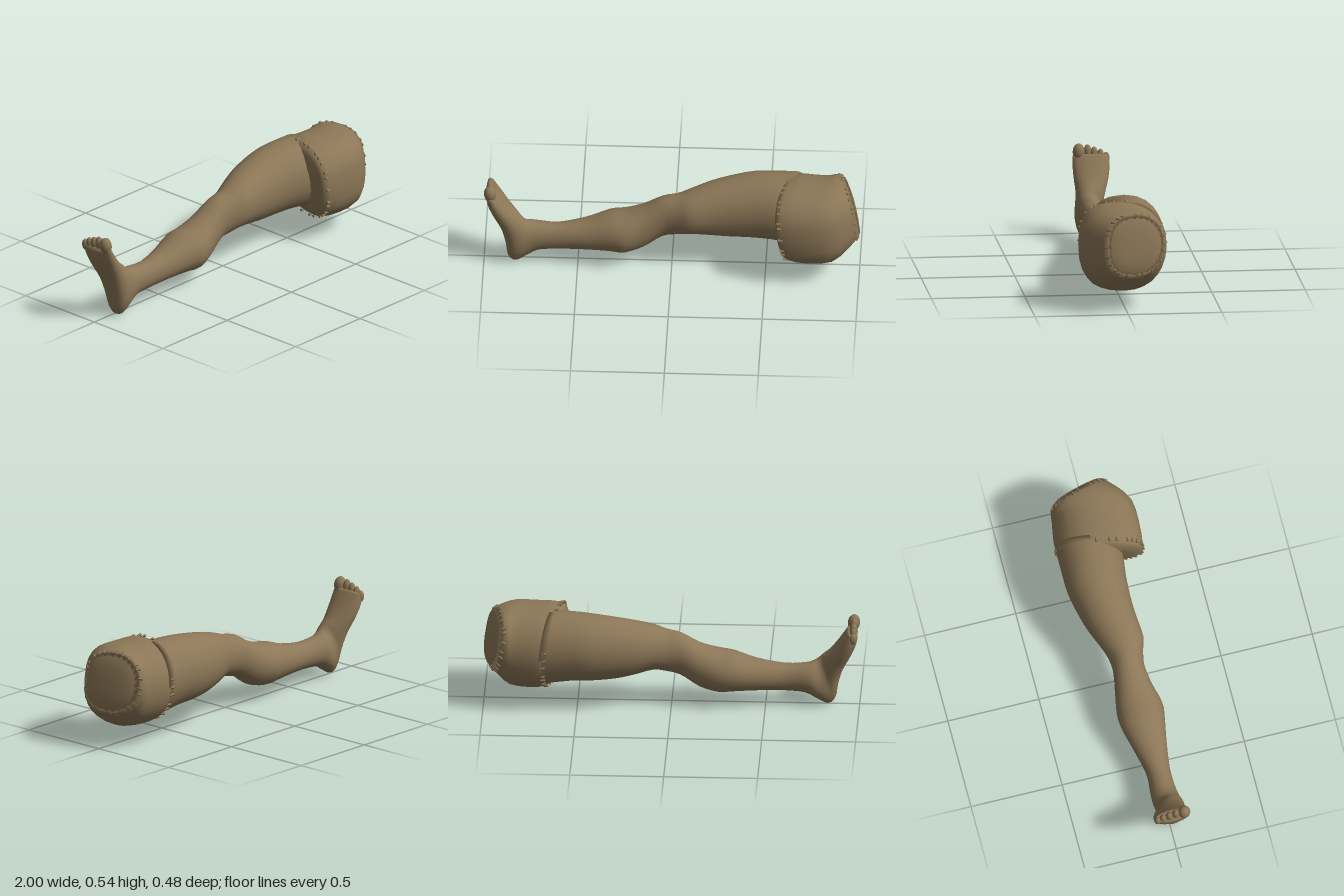
import * as THREE from 'three';

// A section is [ax, ay, bx, by, z0, z1, lean]: two opposite rim points in the
// side plane, the depth range, and how far x shifts per unit of depth.
function ringPoint(s, t, square = 1) {
  const [ax, ay, bx, by, z0, z1, lean = 0] = s;
  const c = Math.cos(t), n = Math.sin(t);
  const e = c > 0 ? square : 1 - (1 - square) * 0.25;
  const u = Math.sign(n) * Math.abs(n) ** e;
  const w = Math.sign(c) * Math.abs(c) ** e * (z1 - z0) / 2;
  return new THREE.Vector3(
    (ax + bx) / 2 + u * (bx - ax) / 2 + lean * w,
    (ay + by) / 2 + u * (by - ay) / 2,
    (z0 + z1) / 2 + w);
}

// Smoothly adds sections between the given ones
function refine(list, steps) {
  const out = [];
  const at = i => list[Math.min(Math.max(i, 0), list.length - 1)];
  for (let i = 0; i < list.length - 1; i++) {
    for (let k = 0; k < steps; k++) {
      const f = k / steps;
      out.push(list[i].map((p1, c) => {
        const p0 = at(i - 1)[c], p2 = at(i + 1)[c], p3 = at(i + 2)[c];
        return p1 + 0.5 * f * (p2 - p0 + f * (2 * p0 - 5 * p1 + 4 * p2 - p3
          + f * (3 * (p1 - p2) + p3 - p0)));
      }));
    }
  }
  out.push(list[list.length - 1]);
  return out;
}

// Skin over the sections with both ends closed by fans
function loft(sections, sides, square) {
  const pos = [], idx = [];
  for (const s of sections) {
    for (let j = 0; j < sides; j++) {
      pos.push(...ringPoint(s, j / sides * Math.PI * 2, square).toArray());
    }
  }
  const last = sections.length - 1;
  for (let i = 0; i < last; i++) {
    for (let j = 0; j < sides; j++) {
      const k = (j + 1) % sides, a = i * sides, b = a + sides;
      idx.push(a + j, b + j, b + k, a + j, b + k, a + k);
    }
  }
  for (const i of [0, last]) {
    const s = sections[i], c = pos.length / 3;
    pos.push((s[0] + s[2]) / 2, (s[1] + s[3]) / 2, (s[4] + s[5]) / 2);
    for (let j = 0; j < sides; j++) {
      const p = i * sides + j, q = i * sides + (j + 1) % sides;
      if (i === 0) idx.push(c, p, q); else idx.push(c, q, p);
    }
  }
  const g = new THREE.BufferGeometry();
  g.setAttribute('position', new THREE.Float32BufferAttribute(pos, 3));
  g.setIndex(idx);
  g.computeVertexNormals();
  return g;
}

export function createModel() {
  const model = new THREE.Group();
  model.name = 'stitchedLeg';
  const skin = new THREE.MeshStandardMaterial({ color: 0x8c7757 });
  skin.name = 'brownSkin';
  const add = (name, geometry, parent = model) => {
    const m = new THREE.Mesh(geometry, skin);
    m.name = name;
    parent.add(m);
    return m;
  };

  // Foot, from the ball down to the heel (sole point, then instep point)
  const foot = [
    [-0.99, 0.42, -0.94, 0.445, -0.105, 0.085, 0],
    [-0.985, 0.365, -0.905, 0.395, -0.11, 0.088, 0],
    [-0.955, 0.29, -0.868, 0.345, -0.1, 0.085, 0],
    [-0.91, 0.2, -0.835, 0.308, -0.08, 0.08, 0],
    [-0.885, 0.11, -0.81, 0.285, -0.065, 0.085, 0],
    [-0.872, 0.035, -0.79, 0.265, -0.055, 0.09, 0],
    [-0.835, 0.0, -0.77, 0.25, -0.06, 0.085, 0],
    [-0.775, 0.03, -0.745, 0.24, -0.07, 0.075, 0],
  ];
  // Shin, knee and thigh: x, underside, top, back, front
  const limb = [
    [-0.71, 0.066, 0.232, -0.07, 0.068],
    [-0.6, 0.076, 0.226, -0.065, 0.066],
    [-0.45, 0.08, 0.252, -0.1, 0.086],
    [-0.33, 0.077, 0.294, -0.132, 0.107],
    [-0.25, 0.072, 0.307, -0.136, 0.115],
    [-0.15, 0.1, 0.343, -0.12, 0.085],
    [-0.05, 0.165, 0.4, -0.105, 0.066],
    [0.03, 0.186, 0.418, -0.112, 0.08],
    [0.1, 0.195, 0.443, -0.137, 0.098],
    [0.2, 0.176, 0.473, -0.178, 0.09],
    [0.3, 0.16, 0.496, -0.207, 0.086],
    [0.43, 0.152, 0.518, -0.234, 0.09],
    [0.54, 0.147, 0.526, -0.237, 0.103],
  ].map(([x, lo, hi, z0, z1]) => [x, lo, x, hi, z0, z1, 0]);
  const socket = [0.68, 0.125, 0.65, 0.527, -0.236, 0.11, -0.2];
  add('leg', loft(refine([...foot, ...limb, socket], 3), 24, 0.95));

  // Toes, big toe on the inner side: y, z, radius, length
  const toes = new THREE.Group();
  toes.name = 'toes';
  model.add(toes);
  [[0.45, 0.052, 0.033, 0.046], [0.45, 0.005, 0.021, 0.04], [0.441, -0.03, 0.02, 0.037],
    [0.43, -0.064, 0.019, 0.035], [0.415, -0.094, 0.019, 0.032]].forEach(([y, z, r, len], i) => {
    const toe = add('toe' + (i + 1), new THREE.SphereGeometry(1, 14, 10), toes);
    toe.scale.set(r, len, r);
    toe.position.set(-0.967, y, z);
    toe.rotation.z = 0.12;
  });

  // Hip block, squarer on the inner side
  const seam = [0.66, 0.1, 0.62, 0.53, -0.235, 0.222, -0.2];
  const rim = [0.97, 0.205, 0.92, 0.522, -0.2, 0.105, 0.27];
  const hip = [
    [0.6, 0.24, 0.57, 0.42, -0.08, 0.13, -0.2],
    [0.625, 0.15, 0.583, 0.49, -0.2, 0.195, -0.2],
    seam,
    [0.75, 0.088, 0.74, 0.532, -0.228, 0.235, -0.1],
    [0.86, 0.1, 0.83, 0.535, -0.215, 0.225, 0],
    [0.925, 0.155, 0.88, 0.533, -0.213, 0.165, 0.15],
    rim,
  ];
  add('hip', loft(refine(hip, 2), 28, 0.75));

  // Slightly domed cut end
  const cutEnd = [
    rim,
    [0.982, 0.225, 0.936, 0.505, -0.182, 0.088, 0.26],
    [0.982, 0.28, 0.954, 0.45, -0.13, 0.035, 0.25],
  ];
  add('cutEnd', loft(cutEnd, 28, 0.75));

  // Stitches crossing each seam
  const stitchShape = new THREE.CylinderGeometry(0.003, 0.009, 0.026, 4).toNonIndexed();
  stitchShape.computeVertexNormals();
  const up = new THREE.Vector3(0, 1, 0);
  const sew = (name, at, before, after, count) => {
    const group = new THREE.Group();
    group.name = name;
    model.add(group);
    for (let i = 0; i < count; i++) {
      const t = (i + 0.2 * Math.sin(i * 2.3)) / count * Math.PI * 2;
      const way = ringPoint(before, t, 0.75).sub(ringPoint(after, t, 0.75)).normalize();
      const stitch = add('stitch', stitchShape, group);
      stitch.position.copy(ringPoint(at, t, 0.75));
      stitch.quaternion.setFromUnitVectors(up, way.negate());
      stitch.translateY(-0.008);
    }
  };
  sew('legSeamStitches', seam, seam, hip[3], 30);
  sew('cutEndStitches', rim, hip[5], rim, 24);

  return model;
}
